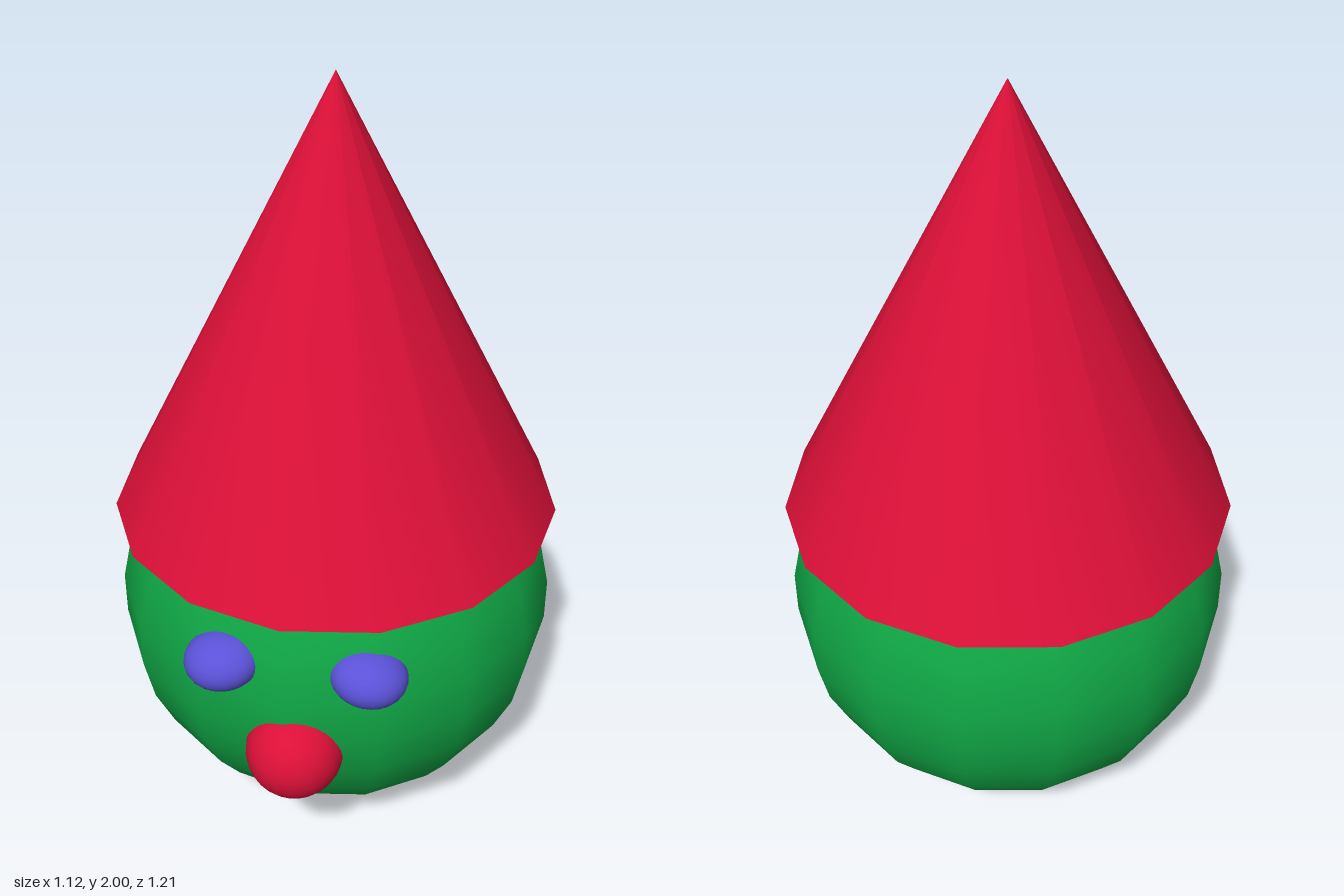
import * as THREE from 'three';

const RED = 0xdc1038, GREEN = 0x10a545, BLUE = 0x5b52d8;
const SIDES = 15;

function part(name, geometry, color, x, y, z) {
  const mesh = new THREE.Mesh(geometry, new THREE.MeshStandardMaterial({ color }));
  mesh.name = name;
  mesh.position.set(x, y, z);
  return mesh;
}

export function createModel() {
  const model = new THREE.Group();
  model.name = 'hattedHead';
  const cx = -0.008, cz = -0.04, r = 0.568;

  // Round head, with a corner of its polygon towards +x
  const head = part('head', new THREE.SphereGeometry(r, SIDES, SIDES), GREEN, cx, r + 0.002, cz);
  head.rotation.y = Math.PI;
  model.add(head);

  // Pointed hat, closed underneath
  const rim = 0.865, height = 2 - rim;
  const hat = part('hat', new THREE.ConeGeometry(r, height, SIDES), RED, cx, rim + height / 2, cz);
  hat.rotation.y = Math.PI / 2;
  model.add(hat);

  // Oval eyes, inner ends slightly raised
  for (const [name, x, z, side] of [['leftEye', 0.137, 0.462, 1], ['rightEye', -0.22, 0.447, -1]]) {
    const eye = part(name, new THREE.SphereGeometry(1, 24, 16), BLUE, x, 0.698, z);
    eye.scale.set(0.096, 0.072, 0.09);
    eye.rotation.z = -side * 0.15;
    model.add(eye);
  }

  // Ball nose
  model.add(part('nose', new THREE.SphereGeometry(0.122, 24, 16), RED, -0.042, 0.455, 0.483));

  return model;
}
